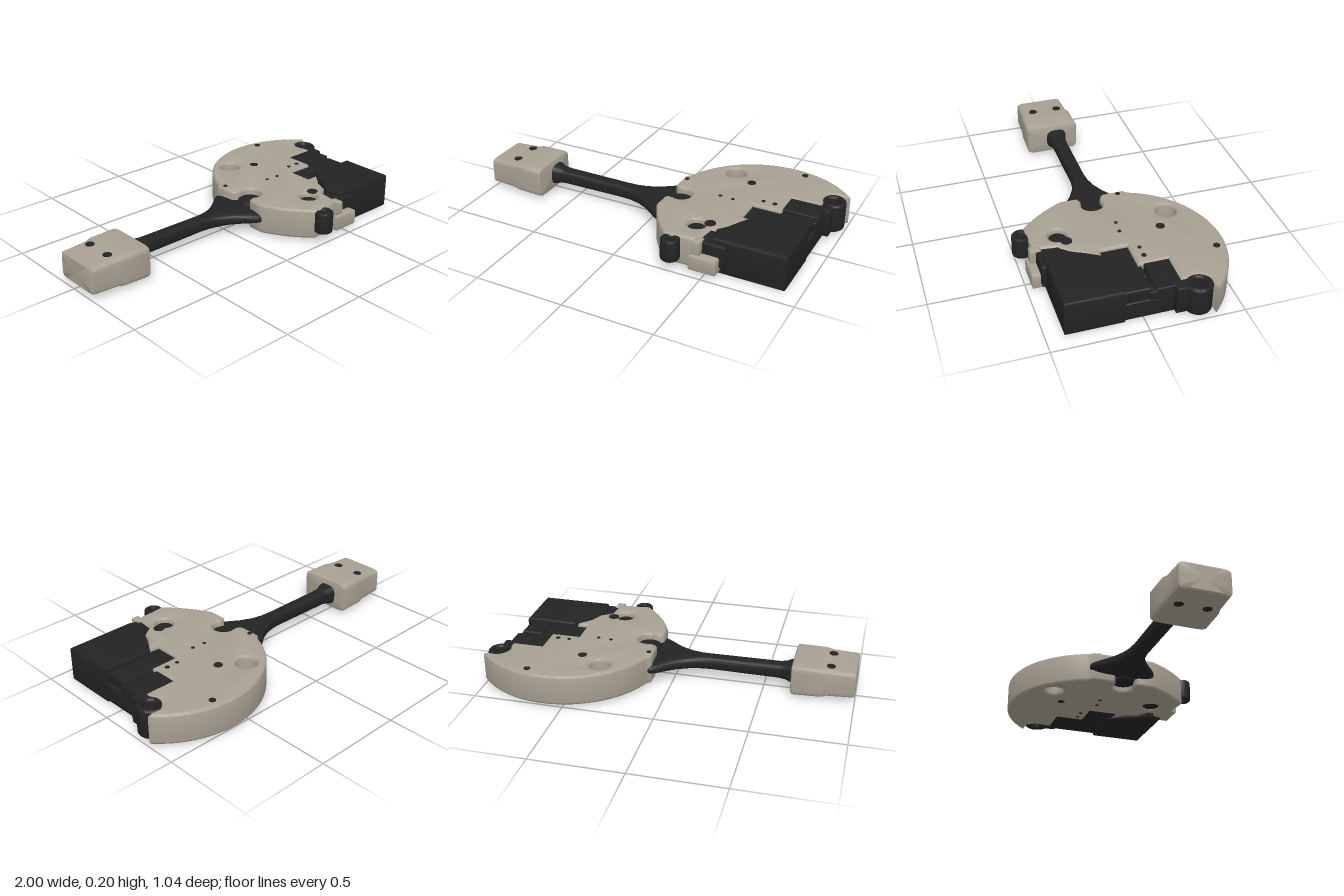
import * as THREE from 'three';
import { toCreasedNormals } from 'three/addons/utils/BufferGeometryUtils.js';

const shell = new THREE.MeshStandardMaterial({ color: 0xa8a192 });
shell.name = 'warm grey plastic';
const black = new THREE.MeshStandardMaterial({ color: 0x232323 });
black.name = 'black plastic';

export function createModel() {
  const model = new THREE.Group();
  model.name = 'cableAdapter';

  function add(name, geometry, material) {
    const mesh = new THREE.Mesh(geometry, material);
    mesh.name = name;
    model.add(mesh);
    return mesh;
  }

  // Shape drawn in plan (x, z), extruded between two heights with rounded rims
  function plate(name, shape, y0, y1, bevel, material) {
    const g = new THREE.ExtrudeGeometry(shape, {
      depth: y1 - y0 - 2 * bevel, bevelEnabled: true, bevelThickness: bevel,
      bevelSize: bevel, bevelOffset: -bevel, bevelSegments: 3, curveSegments: 32,
    });
    g.rotateX(Math.PI / 2);
    g.translate(0, y1 - bevel, 0);
    return add(name, toCreasedNormals(g, 0.65), material);
  }

  const polygon = (pts) => new THREE.Shape(pts.map(([x, z]) => new THREE.Vector2(x, z)));
  const rect = (x0, x1, z0, z1) => polygon([[x0, z0], [x1, z0], [x1, z1], [x0, z1]]);
  function circle(x, z, r, Type = THREE.Path) {
    const c = new Type();
    c.absarc(x, z, r, 0, Math.PI * 2, false);
    return c;
  }
  function ring(x, z, r, hole) {
    const s = circle(x, z, r, THREE.Shape);
    s.holes.push(circle(x, z, hole));
    return s;
  }

  // Rounded-rectangle sections along x: [x, z0, z1, y0, y1], exponent sets squareness
  function loft(name, sections, power, material) {
    const N = 48, pos = [], index = [];
    const point = ([x, z0, z1, y0, y1], i, s = 1) => {
      const a = (i / N) * Math.PI * 2, c = Math.cos(a), n = Math.sin(a);
      const f = (v) => Math.sign(v) * Math.abs(v) ** (2 / power) * s;
      pos.push(x, (y0 + y1) / 2 + f(n) * (y1 - y0) / 2, (z0 + z1) / 2 + f(c) * (z1 - z0) / 2);
    };
    const rows = [[sections[0], 0], ...sections.map((s) => [s, 1]), [sections.at(-1), 0]];
    rows.forEach(([s, k]) => { for (let i = 0; i < N; i++) point(s, i, k); });
    for (let r = 0; r < rows.length - 1; r++) {
      for (let i = 0; i < N; i++) {
        const a = r * N + i, b = r * N + (i + 1) % N, c = a + N, d = b + N;
        index.push(a, c, b, b, c, d);
      }
    }
    // Ring runs from +z to +y, so reverse faces to look outward
    for (let i = 0; i < index.length; i += 3) [index[i + 1], index[i + 2]] = [index[i + 2], index[i + 1]];
    const g = new THREE.BufferGeometry();
    g.setAttribute('position', new THREE.Float32BufferAttribute(pos, 3));
    g.setIndex(index);
    // Orient by signed volume
    let volume = 0;
    const v = [0, 1, 2].map(() => new THREE.Vector3());
    for (let i = 0; i < index.length; i += 3) {
      v.forEach((p, k) => p.fromArray(pos, index[i + k] * 3));
      volume += v[0].dot(v[1].clone().cross(v[2]));
    }
    if (volume < 0) g.setIndex(index.reverse());
    return add(name, toCreasedNormals(g, 0.65), material);
  }

  // Round housing with cable notch, lug cut-out and connector cut-out
  const housing = new THREE.Shape();
  housing.absarc(0.61, 0, 0.52, -0.72, -2.79, true);
  housing.lineTo(0.1, -0.16);
  housing.lineTo(0.1, -0.04);
  housing.quadraticCurveTo(0.12, -0.01, 0.16, -0.02);
  housing.bezierCurveTo(0.25, -0.03, 0.25, 0.11, 0.16, 0.1);
  housing.quadraticCurveTo(0.12, 0.08, 0.1, 0.11);
  housing.lineTo(0.1, 0.2);
  housing.quadraticCurveTo(0.16, 0.34, 0.275, 0.45);
  [[0.36, 0.44], [0.42, 0.44], [0.46, 0.4], [0.47, 0.31], [0.53, 0.27], [0.56, 0.2], [0.63, 0.12],
    [0.56, 0.12], [0.56, -0.03], [0.72, -0.03], [0.72, -0.19], [0.89, -0.19], [0.89, -0.23]]
    .forEach(([x, z]) => housing.lineTo(x, z));
  housing.quadraticCurveTo(0.86, -0.29, 0.92, -0.335);
  housing.holes.push(circle(0.34, -0.32, 0.056), circle(0.38, 0.29, 0.05));
  plate('housing', housing, 0.02, 0.192, 0.016, shell);

  // Lower front tab and the small corner on top of it
  plate('frontTab', rect(0.42, 0.57, 0.36, 0.475), 0.025, 0.115, 0.012, shell);
  plate('frontTabCorner', rect(0.43, 0.475, 0.4, 0.46), 0.1, 0.192, 0.01, shell);

  // Connector socket, its side block and the recessed body behind it
  plate('connectorBox', polygon([[0.63, 0.1], [0.917, 0.1], [0.917, 0.407], [0.52, 0.407],
    [0.5, 0.31], [0.54, 0.26], [0.57, 0.2]]), 0.005, 0.206, 0.014, black);
  plate('connectorSide', rect(0.445, 0.6, 0.3, 0.43), 0.05, 0.182, 0.012, black);
  plate('connectorBody', rect(0.54, 0.8, -0.05, 0.15), 0.022, 0.172, 0.006, black);
  plate('connectorShoulder', rect(0.7, 0.917, -0.22, -0.06), 0.022, 0.184, 0.006, black);
  plate('connectorSill', rect(0.7, 0.917, -0.1, 0.15), 0.022, 0.125, 0.006, black);
  plate('latch', rect(0.78, 0.9, -0.03, 0.12), 0.11, 0.184, 0.008, black);
  plate('latchTooth', rect(0.84, 0.917, -0.075, -0.025), 0.12, 0.17, 0.006, black);

  // Screw lugs
  plate('rearLug', ring(0.928, -0.272, 0.07, 0.038), 0.025, 0.188, 0.014, black);
  plate('rearLugWeb', rect(0.87, 0.95, -0.235, -0.15), 0.025, 0.184, 0.012, black);
  plate('frontLug', ring(0.315, 0.468, 0.051, 0.021), 0.06, 0.185, 0.012, black);
  plate('frontLugWeb', rect(0.3, 0.345, 0.39, 0.45), 0.07, 0.175, 0.008, black);

  // Dark filling at the bottom of the top pocket
  plate('pocketFloor', circle(0.38, 0.29, 0.049, THREE.Shape), 0.03, 0.165, 0.004, black);

  // Cable with flared strain relief
  const cz = 0.013;
  const cable = [[-0.67, 0.062, 0.045, 0.167], [-0.64, 0.056, 0.05, 0.162], [-0.615, 0.045, 0.058, 0.152],
    [-0.58, 0.041, 0.062, 0.147], [-0.2, 0.041, 0.066, 0.144], [-0.14, 0.048, 0.066, 0.142],
    [-0.08, 0.068, 0.066, 0.14], [-0.02, 0.1, 0.066, 0.14], [0.03, 0.138, 0.066, 0.14],
    [0.07, 0.172, 0.066, 0.14], [0.1, 0.19, 0.066, 0.14], [0.13, 0.19, 0.066, 0.14]];
  loft('cable', cable.map(([x, w, y0, y1]) => [x, cz - w, cz + w, y0, y1]), 3, black);
  plate('strainReliefPin', circle(0.165, 0.04, 0.068, THREE.Shape), 0.055, 0.155, 0.012, black);

  // Plug with stepped grip
  loft('plug', [[-1, -0.092, 0.165, 0.045, 0.175], [-0.993, -0.1, 0.175, 0.036, 0.184],
    [-0.85, -0.105, 0.18, 0.03, 0.19], [-0.82, -0.115, 0.187, 0.024, 0.196],
    [-0.67, -0.118, 0.19, 0.02, 0.197], [-0.66, -0.114, 0.186, 0.024, 0.193],
    [-0.655, -0.1, 0.172, 0.038, 0.18]], 9, shell);

  // Dark sockets and pin marks as thin discs: [x, z, radius, height]
  const marks = [[-0.86, -0.045, 0.024, 0.19], [-0.86, 0.105, 0.024, 0.19],
    [-0.86, -0.045, 0.024, 0.03], [-0.86, 0.105, 0.024, 0.03],
    [0.7, -0.46, 0.018, 0.192], [0.465, -0.243, 0.024, 0.192], [0.125, -0.122, 0.013, 0.192],
    [0.37, -0.03, 0.01, 0.192], [0.445, -0.025, 0.01, 0.192], [0.6, -0.08, 0.011, 0.192],
    [0.665, -0.08, 0.013, 0.192], [0.443, 0.26, 0.03, 0.192],
    [0.465, -0.243, 0.02, 0.02], [0.37, -0.03, 0.01, 0.02], [0.445, -0.025, 0.01, 0.02],
    [0.6, -0.08, 0.011, 0.02], [0.665, -0.08, 0.011, 0.02]];
  for (const [x, z, r, y] of marks) {
    add('pinMark', new THREE.CylinderGeometry(r, r, 0.005, 20), black).position.set(x, y, z);
  }
  return model;
}
